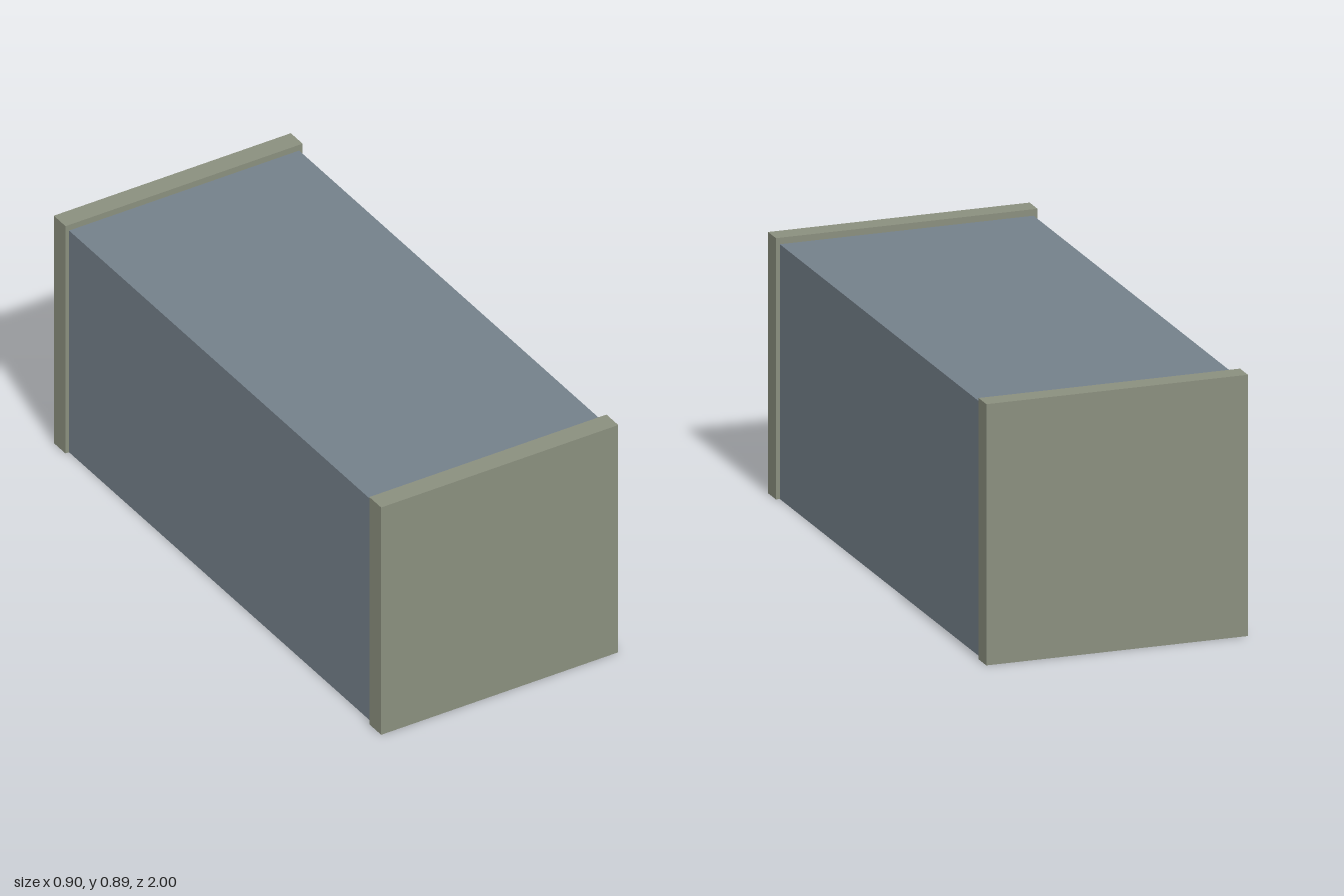
import * as THREE from 'three';

export function createModel() {
  const group = new THREE.Group();
  const bodyMaterial = new THREE.MeshStandardMaterial({ color: 0x74808a });
  const capMaterial = new THREE.MeshStandardMaterial({ color: 0x8a8f7e });

  // Box standing on the ground, centred at the given z
  function addBox(name, width, height, depth, z, material) {
    const mesh = new THREE.Mesh(new THREE.BoxGeometry(width, height, depth), material);
    mesh.name = name;
    mesh.position.set(0, height / 2, z);
    group.add(mesh);
  }

  const capDepth = 0.072;

  // Long body between the two end plates
  addBox('body', 0.878, 0.864, 2 - 2 * capDepth, 0, bodyMaterial);

  // Slightly larger end plates, flush with the body at the bottom
  for (const [name, side] of [['frontPlate', 1], ['backPlate', -1]]) {
    addBox(name, 0.905, 0.886, capDepth, side * (1 - capDepth / 2), capMaterial);
  }

  return group;
}
